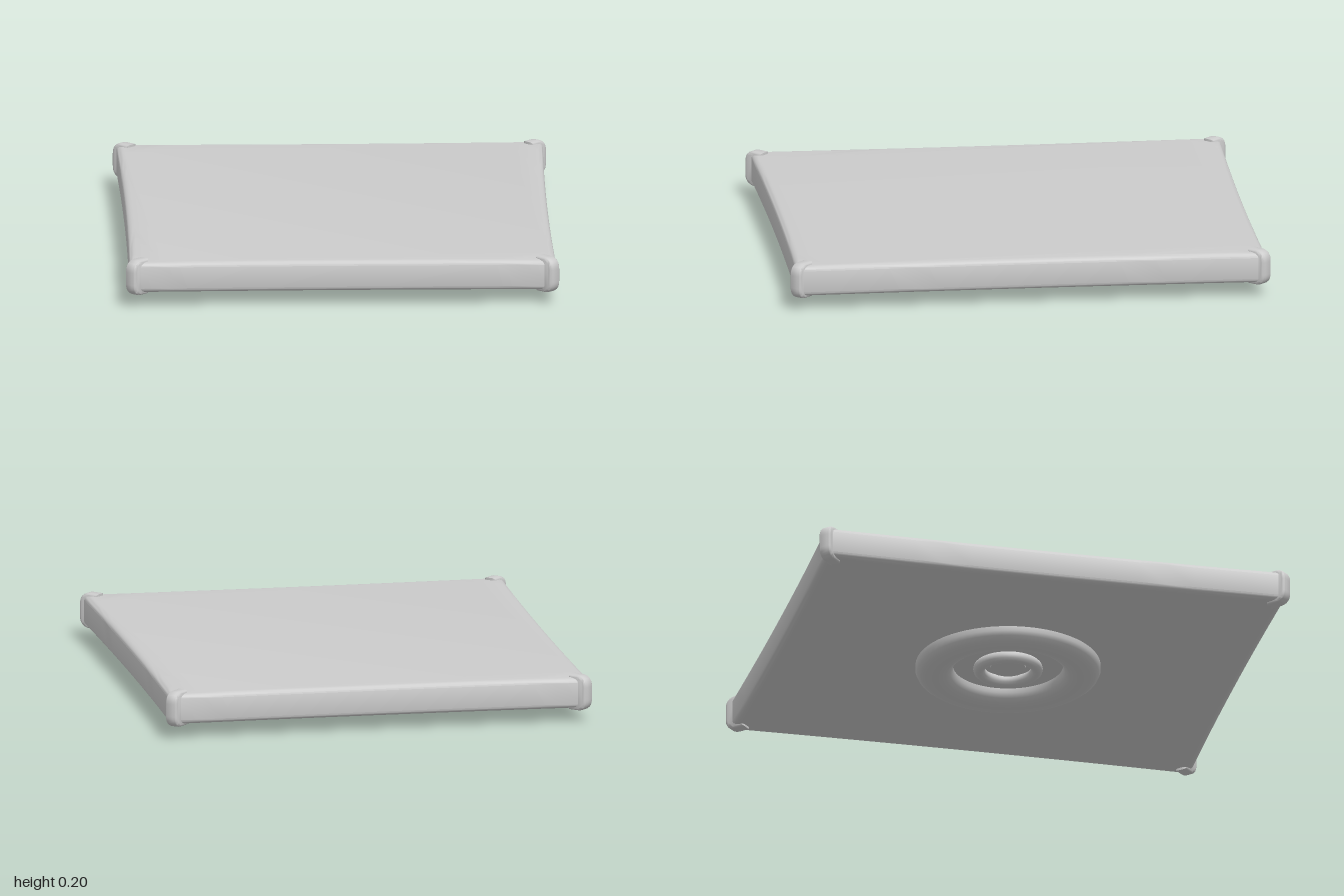
import * as THREE from 'three';
import { toCreasedNormals } from 'three/addons/utils/BufferGeometryUtils.js';

const grey = new THREE.MeshStandardMaterial({ color: 0xcccccc });
const greyBoth = new THREE.MeshStandardMaterial({ color: 0xcccccc, side: THREE.DoubleSide });

function part(name, geometry, material = grey) {
  const mesh = new THREE.Mesh(geometry, material);
  mesh.name = name;
  return mesh;
}

// Rectangular slab with slightly hollow sides and rounded rims
function slabGeometry() {
  const x = 0.858, z = 0.953, bow = 0.02, rim = 0.03, soft = 0.02;
  const s = new THREE.Shape();
  s.moveTo(-x, -z);
  s.quadraticCurveTo(0, -z + bow, x, -z);
  s.quadraticCurveTo(x - bow, 0, x, z);
  s.quadraticCurveTo(0, z - bow, -x, z);
  s.quadraticCurveTo(-x + bow, 0, -x, -z);
  const g = new THREE.ExtrudeGeometry(s, {
    depth: 0.13 - 2 * soft, bevelThickness: soft, bevelSize: rim, bevelSegments: 5, curveSegments: 16,
  });
  g.rotateX(-Math.PI / 2);
  g.translate(0, 0.06 + soft, 0);
  return toCreasedNormals(g, 0.6);
}

// Rounded clip, pointing outward along +x
function clipGeometry() {
  const r = 0.014, x0 = -0.056, x1 = 0.008, h = 0.075 - r, c = 0.035;
  const s = new THREE.Shape();
  s.moveTo(x0, -h);
  s.lineTo(x1 - c, -h);
  s.quadraticCurveTo(x1, -h, x1, -h + c);
  s.lineTo(x1, h - c);
  s.quadraticCurveTo(x1, h, x1 - c, h);
  s.lineTo(x0, h);
  s.closePath();
  const g = new THREE.ExtrudeGeometry(s, {
    depth: 0.028, bevelThickness: r, bevelSize: r, bevelSegments: 4, curveSegments: 8,
  });
  g.translate(0, 0, -0.014);
  return toCreasedNormals(g, 0.7);
}

function lathe(points) {
  const curve = points.map(([r, y]) => new THREE.Vector2(r, y));
  return toCreasedNormals(new THREE.LatheGeometry(curve, 64), 0.6);
}

export function createModel() {
  const model = new THREE.Group();
  model.name = 'tray';
  model.add(part('slab', slabGeometry()));

  // Clips over the four corners
  const clip = clipGeometry();
  for (const sx of [-1, 1]) for (const sz of [-1, 1]) {
    const m = part('cornerClip', clip);
    m.position.set(sx * 0.872, 0.125, sz * 0.975);
    m.rotation.y = Math.atan2(-sz, sx);
    model.add(m);
  }

  // Round foot with a hollow middle
  model.add(part('foot', lathe([
    [0.385, 0.065], [0.386, 0.04], [0.378, 0.022], [0.36, 0.008], [0.335, 0.0],
    [0.29, 0.0], [0.26, 0.007], [0.24, 0.02], [0.23, 0.04], [0.23, 0.065],
  ]), greyBoth));

  // Small raised ring and hub inside the foot
  const ring = part('innerRing', new THREE.TorusGeometry(0.12, 0.025, 12, 48));
  ring.rotation.x = Math.PI / 2;
  ring.position.y = 0.042;
  model.add(ring);
  const hub = part('hub', new THREE.CylinderGeometry(0.075, 0.075, 0.02, 40));
  hub.position.y = 0.053;
  model.add(hub);
  return model;
}
